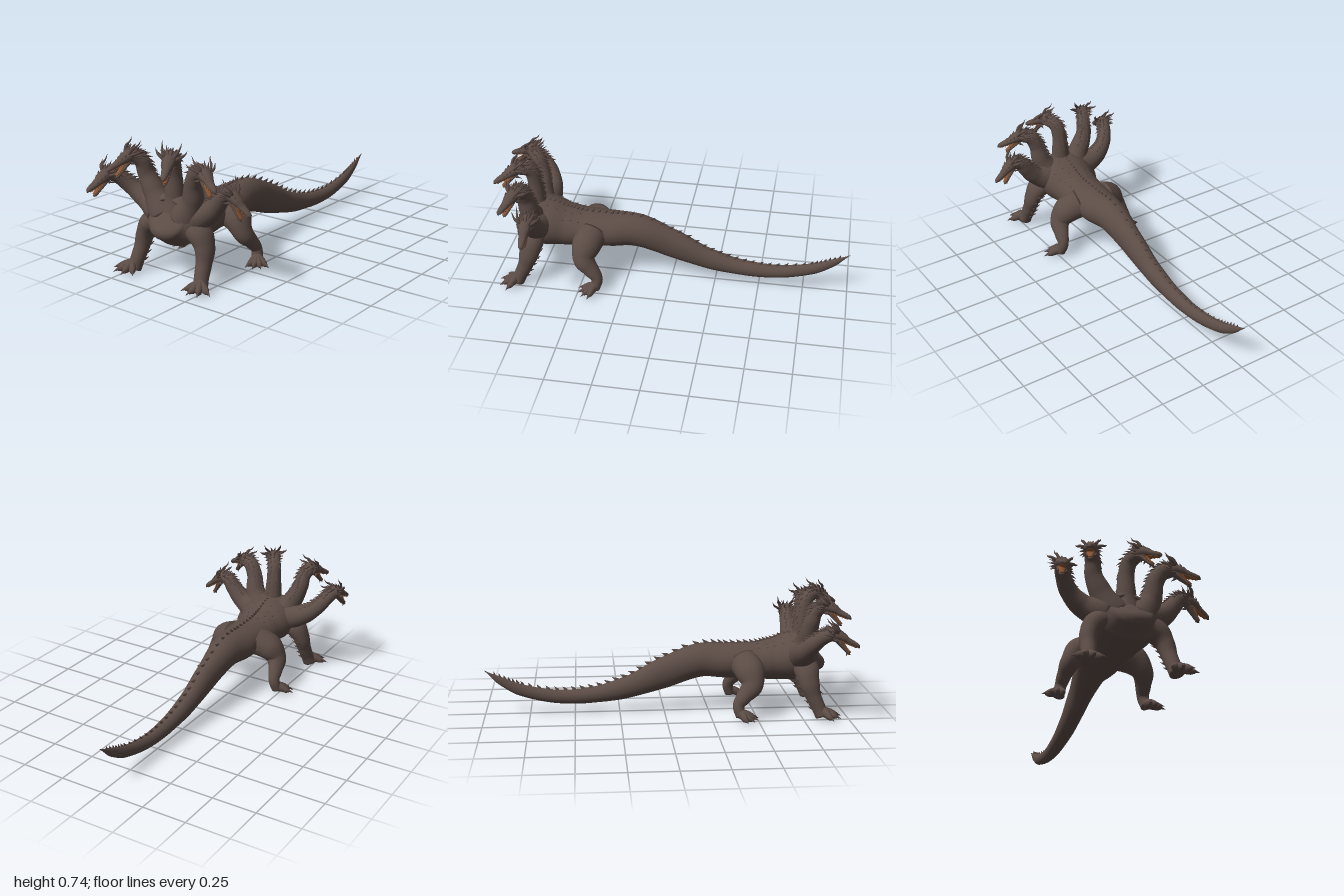
import * as THREE from 'three';
import { mergeGeometries } from 'three/addons/utils/BufferGeometryUtils.js';

const V = (x, y, z) => new THREE.Vector3(x, y, z);
const UP = V(0, 1, 0);

// Seeded random numbers for small irregularities in the spikes
let seed = 7;
const rnd = () => (seed = (seed * 16807) % 2147483647) / 2147483647;

// Smooth skin through cross-sections [x, y, z, halfWidth, halfHeight]; "dorsal" marks the back side
function loft(sections, dorsal = UP, steps = 24, sides = 20) {
  const path = new THREE.CatmullRomCurve3(sections.map(s => V(s[0], s[1], s[2])));
  const sizes = sections.map(s => [s[3], s[4] ?? s[3]]);
  const pos = [], index = [], frames = [];
  let n = dorsal.clone();
  for (let i = 0; i <= steps; i++) {
    const t = i / steps, c = path.getPoint(t), T = path.getTangent(t);
    n = n.clone().addScaledVector(T, -n.dot(T)).normalize();
    const b = T.clone().cross(n);
    const f = t * (sizes.length - 1), k = Math.min(Math.floor(f), sizes.length - 2);
    const u = THREE.MathUtils.smoothstep(f - k, 0, 1) * 0.5 + (f - k) * 0.5;
    const rx = THREE.MathUtils.lerp(sizes[k][0], sizes[k + 1][0], u);
    const ry = THREE.MathUtils.lerp(sizes[k][1], sizes[k + 1][1], u);
    frames.push({ c, T, n, b, rx, ry });
    for (let j = 0; j < sides; j++) {
      const a = (j / sides) * Math.PI * 2;
      const p = c.clone().addScaledVector(n, Math.cos(a) * ry).addScaledVector(b, Math.sin(a) * rx);
      pos.push(p.x, p.y, p.z);
      if (i < steps) {
        const q = i * sides + j, r = i * sides + (j + 1) % sides;
        index.push(q, r, q + sides, r, r + sides, q + sides);
      }
    }
  }
  // End caps
  const first = pos.length / 3, last = steps * sides;
  for (const f of [frames[0], frames[steps]]) pos.push(f.c.x, f.c.y, f.c.z);
  for (let j = 0; j < sides; j++) {
    const k = (j + 1) % sides;
    index.push(first, k, j, first + 1, last + j, last + k);
  }
  const geo = new THREE.BufferGeometry();
  geo.setAttribute('position', new THREE.Float32BufferAttribute(pos, 3));
  geo.setIndex(index);
  geo.computeVertexNormals();
  return { geo, frames };
}

// Pointed spike standing on a surface point
function spike(at, dir, length, radius, flat = 1) {
  const g = new THREE.ConeGeometry(radius, length, 6, 1).scale(flat, 1, 1).translate(0, length * 0.42, 0);
  g.deleteAttribute('uv');
  g.applyQuaternion(new THREE.Quaternion().setFromUnitVectors(UP, dir.clone().normalize()));
  return g.translate(at.x, at.y, at.z);
}

// Point and outward direction on a lofted skin at angle a from the back
function onSkin(f, a) {
  const out = f.n.clone().multiplyScalar(Math.cos(a)).addScaledVector(f.b, Math.sin(a));
  const at = f.c.clone().addScaledVector(f.n, Math.cos(a) * f.ry * 0.97).addScaledVector(f.b, Math.sin(a) * f.rx * 0.97);
  return { at, out };
}

export function createModel() {
  seed = 7;
  const model = new THREE.Group();
  const hide = new THREE.MeshStandardMaterial({ color: 0x5c4c46 });
  hide.name = 'brown hide';
  const horn = new THREE.MeshStandardMaterial({ color: 0x584843 });
  horn.name = 'brown horn';
  const flesh = new THREE.MeshStandardMaterial({ color: 0x8a5433 });
  flesh.name = 'mouth flesh';
  const add = (parent, name, geo, mat) => {
    const m = new THREE.Mesh(Array.isArray(geo) ? mergeGeometries(geo) : geo, mat);
    m.name = name;
    parent.add(m);
  };

  // Body and tail in one skin, chest to tail tip
  const body = loft([
    [0, 0.335, 0.865, 0.03, 0.04], [0, 0.325, 0.852, 0.11, 0.1], [0, 0.318, 0.8, 0.175, 0.135],
    [0, 0.305, 0.7, 0.165, 0.133], [0, 0.29, 0.6, 0.138, 0.115], [0, 0.287, 0.5, 0.128, 0.1],
    [0, 0.287, 0.35, 0.115, 0.098], [0, 0.29, 0.2, 0.087, 0.095], [0, 0.22, 0, 0.06, 0.087],
    [0, 0.142, -0.2, 0.05, 0.062], [0, 0.1, -0.4, 0.042, 0.045], [0, 0.095, -0.6, 0.035, 0.038],
    [0, 0.137, -0.8, 0.025, 0.033], [0, 0.185, -0.9, 0.015, 0.024], [0, 0.252, -1, 0.001, 0.001],
  ], UP, 112, 36);
  add(model, 'bodyAndTail', body.geo, hide);

  // Ridge of backward spines, and scattered scales over the shoulders
  const ridge = [];
  for (let i = 22; i < 110; i += 2) {
    const f = body.frames[i], { at, out } = onSkin(f, 0);
    const len = 0.018 + 0.02 * Math.sin(Math.PI * Math.min(1, (i - 8) / 104));
    ridge.push(spike(at, out.addScaledVector(f.T, 1), len, len * 0.36, 0.6));
  }
  for (let i = 18; i < 40; i += 4) {
    for (const a of [-0.75, -0.35, 0.35, 0.75]) {
      const f = body.frames[i], { at, out } = onSkin(f, a + (rnd() - 0.5) * 0.25);
      ridge.push(spike(at, out.addScaledVector(f.T, 1.5), 0.016, 0.006));
    }
  }
  add(model, 'backSpines', ridge, horn);

  // One horned head: snout along +z, jaw hanging open
  function makeHead() {
    const head = new THREE.Group();
    const skull = loft([
      [0, 0, -0.03, 0.028, 0.03], [0, 0.006, 0.02, 0.036, 0.033], [0, 0.004, 0.055, 0.033, 0.026],
      [0, -0.003, 0.09, 0.023, 0.017], [0, -0.006, 0.125, 0.018, 0.014], [0, -0.01, 0.148, 0.014, 0.011],
      [0, -0.017, 0.16, 0.004, 0.004],
    ], UP, 24, 16);
    const jaw = loft([
      [0, -0.01, 0.015, 0.027, 0.02], [0, -0.029, 0.05, 0.023, 0.012], [0, -0.049, 0.085, 0.017, 0.008],
      [0, -0.064, 0.115, 0.013, 0.007], [0, -0.068, 0.127, 0.004, 0.003],
    ], UP, 14, 12);
    add(head, 'skull', skull.geo, hide);
    add(head, 'lowerJaw', jaw.geo, hide);
    // Tongue filling the jaw, and palate
    const tongue = loft([[0, -0.014, 0.045, 0.022, 0.006], [0, -0.021, 0.065, 0.02, 0.006],
      [0, -0.041, 0.092, 0.0155, 0.006], [0, -0.058, 0.122, 0.01, 0.006]], UP, 10, 10);
    const palate = loft([[0, -0.019, 0.05, 0.024, 0.004], [0, -0.019, 0.09, 0.017, 0.004],
      [0, -0.021, 0.145, 0.009, 0.003]], UP, 8, 10);
    add(head, 'mouthLining', [tongue.geo, palate.geo], flesh);
    // Swept horns, crown, brow spikes, cheek spikes and teeth
    const horns = [];
    for (const s of [-1, 1]) {
      for (const [x, y, z] of [[0.05, 0.062, -0.05], [0.08, 0.03, -0.035]])
        horns.push(loft([[s * 0.022, y * 0.38, 0.025, 0.009], [s * (x * 0.65 + 0.006), y * 0.75, 0.002, 0.007],
          [s * x * 0.9, y * 0.86, z * 0.55, 0.004], [s * x, y * 1.15, z, 0.0005]], UP, 8, 6).geo.toNonIndexed());
      for (let i = 0; i < 6; i++) {
        const a = s * (0.2 + i * 0.38);
        horns.push(spike(V(Math.sin(a) * 0.033, 0.004 + Math.cos(a) * 0.03, 0.012 - i * 0.002),
          V(Math.sin(a) * 0.9, Math.cos(a) * 0.5, -0.9), 0.036 + rnd() * 0.018, 0.008).toNonIndexed());
        if (i % 2) horns.push(spike(V(Math.sin(a) * 0.029, Math.cos(a) * 0.029, -0.018),
          V(Math.sin(a) * 0.7, Math.cos(a) * 0.5, -1), 0.035 + rnd() * 0.014, 0.007).toNonIndexed());
      }
      for (let i = 0; i < 3; i++)
        horns.push(spike(V(s * (0.024 - i * 0.005), 0.022 - i * 0.008, 0.05 + i * 0.022), V(s * 0.5, 0.7, -0.8), 0.02 - i * 0.004, 0.006).toNonIndexed());
      for (let i = 0; i < 3; i++) {
        horns.push(spike(V(s * (0.019 - i * 0.002), -0.015, 0.1 + i * 0.018), V(0, -1, 0), 0.01, 0.0025).toNonIndexed());
        horns.push(spike(V(s * (0.017 - i * 0.002), -0.046 - i * 0.006, 0.085 + i * 0.012), V(0, 1, 0.5), 0.009, 0.0025).toNonIndexed());
      }
      horns.push(spike(V(s * 0.026, -0.026, 0.03), V(s * 0.7, -0.4, -0.8), 0.034, 0.008).toNonIndexed());
    }
    horns.push(spike(V(0, -0.068, 0.108), V(0, -1, 0.1), 0.016, 0.005).toNonIndexed());
    add(head, 'hornsAndTeeth', horns, horn);
    return head;
  }

  // Five necks: sections, direction of the back, and nose position
  const necks = [
    { p: [[-0.1, 0.33, 0.76, 0.09], [-0.22, 0.372, 0.745, 0.059], [-0.3, 0.43, 0.77, 0.046], [-0.345, 0.487, 0.82, 0.039], [-0.367, 0.51, 0.865, 0.034]], d: V(0.2, 1, -0.3), nose: V(-0.383, 0.462, 0.99) },
    { p: [[-0.07, 0.33, 0.77, 0.09], [-0.135, 0.44, 0.78, 0.058], [-0.177, 0.53, 0.79, 0.045], [-0.187, 0.595, 0.81, 0.04], [-0.21, 0.632, 0.85, 0.034]], d: V(0.5, 0.2, -1), nose: V(-0.25, 0.592, 0.96) },
    { p: [[0, 0.32, 0.765, 0.09], [0, 0.44, 0.775, 0.052], [0, 0.56, 0.78, 0.042], [0.012, 0.632, 0.8, 0.04], [0.045, 0.655, 0.855, 0.034]], d: V(-0.3, 0, -1), nose: V(0.115, 0.6, 0.985) },
    { p: [[0.07, 0.33, 0.77, 0.09], [0.128, 0.44, 0.785, 0.056], [0.145, 0.53, 0.8, 0.046], [0.178, 0.592, 0.81, 0.043], [0.225, 0.608, 0.825, 0.036]], d: V(-1, 0.2, -0.6), nose: V(0.345, 0.568, 0.88) },
    { p: [[0.1, 0.33, 0.75, 0.09], [0.2, 0.38, 0.75, 0.058], [0.255, 0.437, 0.745, 0.047], [0.29, 0.482, 0.745, 0.042], [0.33, 0.5, 0.745, 0.035]], d: V(-0.6, 1, -0.1), nose: V(0.455, 0.425, 0.745) },
  ];
  necks.forEach(({ p, d, nose }, i) => {
    const unit = new THREE.Group();
    unit.name = 'neckAndHead' + (i + 1);
    const neck = loft(p, d, 32, 24);
    add(unit, 'neck', neck.geo, hide);
    const spines = [];
    for (let k = 10; k < 33; k += 2) {
      for (const a of k > 20 ? [-0.9, -0.3, 0.3, 0.9] : [-0.4, 0.4]) {
        const f = neck.frames[k], { at, out } = onSkin(f, a + (rnd() - 0.5) * 0.25);
        spines.push(spike(at, out.addScaledVector(f.T, -1.1), 0.015 + k * 0.0007, 0.0075, 0.8));
      }
    }
    add(unit, 'neckSpines', spines, horn);
    // Aim the head from the neck end to the nose
    const end = neck.frames[32], z = nose.clone().sub(end.c).normalize();
    const y = end.n.clone().lerp(UP, 0.6);
    y.addScaledVector(z, -y.dot(z)).normalize();
    const head = makeHead();
    head.name = 'head';
    head.applyMatrix4(new THREE.Matrix4().makeBasis(y.clone().cross(z), y, z).setPosition(end.c));
    unit.add(head);
    model.add(unit);
  });

  // Clawed foot: toes fan out from the ankle around a heading angle
  function foot(leg, s, x, z, heading, spread, len) {
    const toes = [], claws = [];
    for (const k of [-1, -0.33, 0.33, 1]) {
      const dx = s * Math.sin(heading + k * spread), dz = Math.cos(heading + k * spread);
      const at = (r, y, w, h) => [s * x + dx * len * r, y, z + dz * len * r, w, h];
      toes.push(loft([at(0, 0.042, 0.026, 0.03), at(0.4, 0.036, 0.02, 0.024), at(0.75, 0.026, 0.017, 0.019),
        at(1, 0.02, 0.007, 0.009)], UP, 12, 10).geo);
      claws.push(spike(V(s * x + dx * len * 0.93, 0.026, z + dz * len * 0.93), V(dx, -0.45, dz), 0.036, 0.01));
    }
    add(leg, 'toes', toes, hide);
    add(leg, 'claws', claws, horn);
  }

  for (const s of [1, -1]) {
    const side = s > 0 ? 'left' : 'right';
    // Front leg with shoulder and elbow spikes
    const front = new THREE.Group();
    front.name = side + 'FrontLeg';
    const arm = loft([[s * 0.1, 0.295, 0.77, 0.065, 0.07], [s * 0.165, 0.262, 0.775, 0.06, 0.07], [s * 0.2, 0.2, 0.785, 0.046, 0.057],
      [s * 0.21, 0.125, 0.808, 0.04, 0.043], [s * 0.218, 0.06, 0.838, 0.038, 0.038], [s * 0.226, 0.015, 0.855, 0.04, 0.035]], V(0, 0, -1), 28, 20);
    add(front, 'limb', arm.geo, hide);
    const elbow = [];
    for (let k = 9; k < 22; k += 3) {
      for (const a of [0, s * -0.9]) {
        const f = arm.frames[k], { at, out } = onSkin(f, a);
        elbow.push(spike(at, out.addScaledVector(f.T, -1.2), 0.027, 0.008, 0.8));
      }
    }
    add(front, 'elbowSpikes', elbow, horn);
    foot(front, s, 0.232, 0.86, 0.2, 0.95, 0.08);
    model.add(front);

    // Hind leg with heavy thigh and bent hock
    const hind = new THREE.Group();
    hind.name = side + 'HindLeg';
    const limb = loft([[s * 0.07, 0.29, 0.44, 0.08, 0.085], [s * 0.15, 0.255, 0.463, 0.073, 0.082], [s * 0.197, 0.19, 0.468, 0.051, 0.062],
      [s * 0.215, 0.135, 0.425, 0.037, 0.044], [s * 0.225, 0.085, 0.392, 0.03, 0.032], [s * 0.238, 0.025, 0.405, 0.03, 0.028]], V(0, 0.5, 1), 28, 20);
    add(hind, 'limb', limb.geo, hide);
    foot(hind, s, 0.24, 0.405, 0.6, 0.7, 0.075);
    model.add(hind);
  }
  return model;
}
